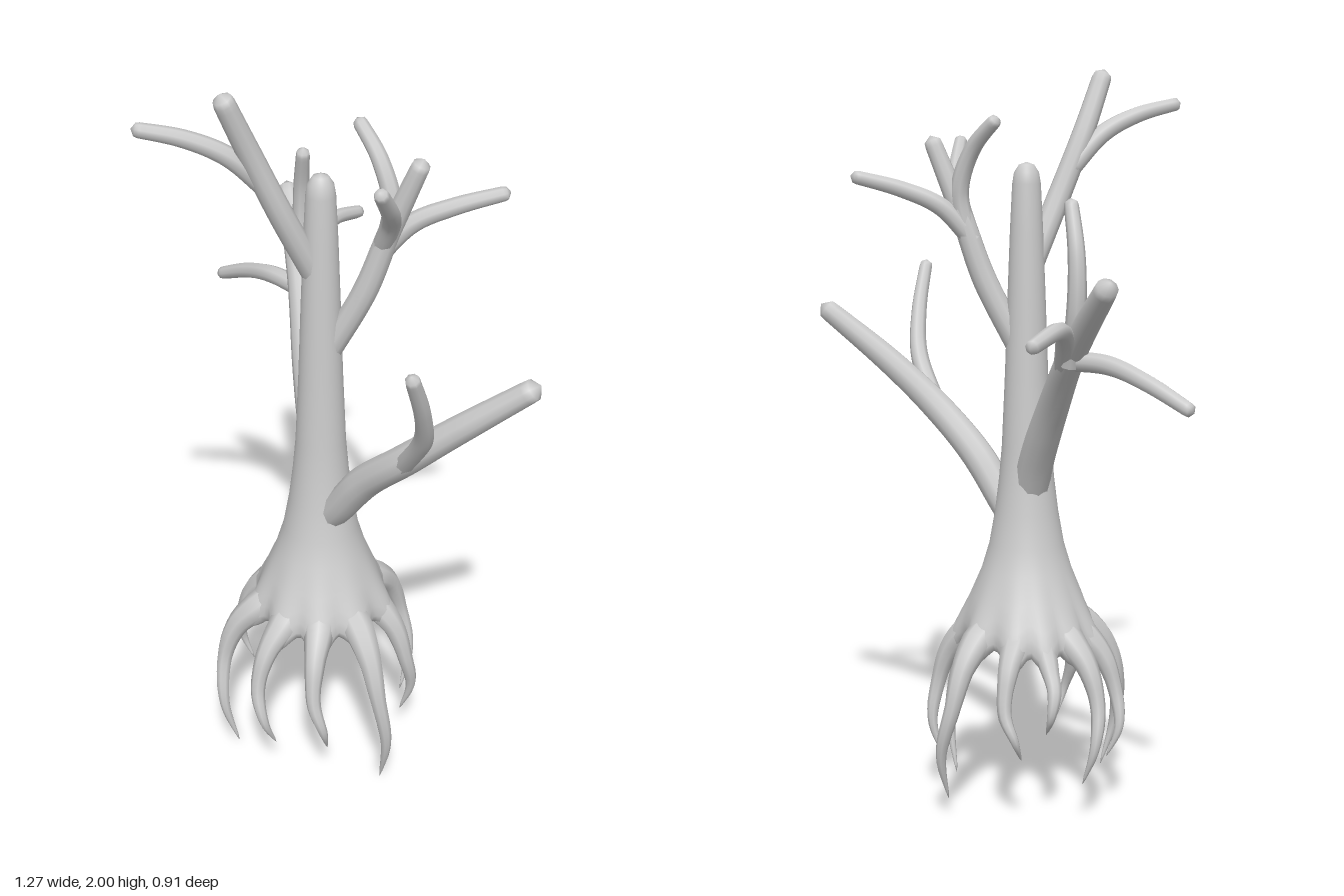
import * as THREE from 'three';
import { mergeVertices } from 'three/addons/utils/BufferGeometryUtils.js';

const material = new THREE.MeshStandardMaterial({ color: 0xcccccc, side: THREE.DoubleSide });
const CX = 0.045, CZ = 0.035; // trunk axis

function smooth(geometry) {
  geometry.deleteAttribute('uv');
  geometry.deleteAttribute('normal');
  const merged = mergeVertices(geometry, 1e-5);
  merged.computeVertexNormals();
  return merged;
}

// Tapered limb along a curve; radii are spread evenly, the far end is rounded
function limb(name, points, radii, sides = 10, segments = 40) {
  const curve = new THREE.CatmullRomCurve3(points.map(p => new THREE.Vector3(...p)));
  const geometry = new THREE.TubeGeometry(curve, segments, 1, sides);
  const pos = geometry.attributes.position;
  const length = curve.getLength(), last = radii.length - 1;
  const v = new THREE.Vector3(), c = new THREE.Vector3();
  for (let i = 0; i < pos.count; i++) {
    const u = Math.floor(i / (sides + 1)) / segments;
    const k = Math.min(Math.floor(u * last), last - 1);
    let r = THREE.MathUtils.lerp(radii[k], radii[k + 1], u * last - k);
    const toEnd = (1 - u) * length, cap = radii[last];
    if (toEnd < cap) r *= Math.sqrt(Math.max(0, 1 - (1 - toEnd / cap) ** 2));
    curve.getPointAt(u, c);
    v.fromBufferAttribute(pos, i).sub(c).multiplyScalar(r).add(c);
    pos.setXYZ(i, v.x, v.y, v.z);
  }
  const mesh = new THREE.Mesh(smooth(geometry), material);
  mesh.name = name;
  return mesh;
}

// Roots: outermost x and z, height of the tip, sideways bend of the tip
const roots = [
  [0.35, 0.04, 0.0, -0.08], [0.28, 0.21, 0.15, -0.1], [0.14, 0.31, 0.14, -0.12],
  [-0.05, 0.31, 0.04, -0.14], [-0.2, 0.15, 0.15, 0.08], [-0.24, 0.02, 0.11, 0.1],
  [-0.19, -0.1, 0.26, 0.05], [-0.11, -0.19, 0.19, -0.12], [0.06, -0.26, 0.05, 0.12],
  [0.25, -0.13, 0.11, -0.08],
].map(([x, z, tip, bend]) => ({
  angle: Math.atan2(z - CZ, x - CX), reach: Math.hypot(x - CX, z - CZ), tip, bend,
}));

// Trunk with a hollow underside, its flared foot swelling towards each root
function makeTrunk() {
  const profile = [
    [0, 0.53], [0.07, 0.51], [0.12, 0.47], [0.16, 0.435], [0.18, 0.435], [0.187, 0.455],
    [0.182, 0.49], [0.17, 0.53], [0.152, 0.585], [0.123, 0.66], [0.102, 0.73], [0.086, 0.82],
    [0.075, 0.91], [0.067, 1.0], [0.058, 1.2], [0.051, 1.4], [0.044, 1.58], [0.038, 1.7],
    [0.033, 1.73], [0.02, 1.75], [0, 1.757],
  ].map(p => new THREE.Vector2(...p));
  const geometry = new THREE.LatheGeometry(profile, 96);
  const pos = geometry.attributes.position;
  for (let i = 0; i < pos.count; i++) {
    const x = pos.getX(i), y = pos.getY(i), z = pos.getZ(i);
    const a = Math.atan2(z, x);
    let lobe = 0;
    for (const root of roots) {
      const d = Math.atan2(Math.sin(a - root.angle), Math.cos(a - root.angle));
      lobe = Math.max(lobe, Math.exp(-((d / 0.19) ** 2)));
    }
    const foot = THREE.MathUtils.smoothstep(0.64 - y, 0, 0.2);
    const rim = Math.min(1, Math.hypot(x, z) / 0.16);
    const s = 1 + foot * rim * (0.24 * lobe - 0.05);
    pos.setXYZ(i, CX + x * s, y + foot * rim * (0.035 - 0.05 * lobe), CZ + z * s);
  }
  const mesh = new THREE.Mesh(smooth(geometry), material);
  mesh.name = 'trunk';
  return mesh;
}

// Root sloping out of the foot and hanging down to a thin point
function makeRoot({ angle, reach, tip, bend }) {
  const at = (r, y, turn) => [CX + r * Math.cos(angle + turn), y, CZ + r * Math.sin(angle + turn)];
  const low = Math.max(0.32, tip + 0.12);
  return limb('root', [
    at(0.1, 0.53, 0), at(reach * 0.58, 0.49, 0), at(reach * 0.81, 0.425, -bend * 0.4),
    at(reach * 0.95, low, -bend * 0.4), at(reach, (low + tip) / 2, bend * 0.5),
    at(reach * 0.88, tip, bend),
  ], [0.045, 0.043, 0.03, 0.022, 0.018, 0.011, 0.002], 8, 24);
}

// Each bough: main limb first, then its twigs
const boughs = {
  leftBough: {
    main: [[0.07, 0.76, 0.04], [0.13, 0.83, 0.035], [0.22, 0.95, 0.02], [0.35, 1.075, -0.01], [0.47, 1.2, -0.08], [0.625, 1.36, -0.2]],
    radii: [0.042, 0.045, 0.042, 0.036, 0.028],
    twigs: [[[0.36, 1.07, 0], [0.47, 1.21, 0.03], [0.525, 1.33, 0.08], [0.565, 1.47, 0.148]]],
  },
  rightBough: {
    main: [[0.03, 0.86, 0.03], [-0.03, 0.98, 0], [-0.13, 1.13, -0.045], [-0.28, 1.3, -0.125], [-0.485, 1.485, -0.22]],
    radii: [0.05, 0.047, 0.04, 0.035, 0.028],
    twigs: [
      [[-0.27, 1.26, -0.13], [-0.31, 1.4, -0.15], [-0.31, 1.54, -0.15], [-0.27, 1.675, -0.13]],
      [[-0.24, 1.27, -0.12], [-0.38, 1.268, -0.105], [-0.5, 1.235, -0.1], [-0.635, 1.175, -0.085]],
      [[-0.23, 1.25, -0.11], [-0.31, 1.33, -0.19], [-0.4, 1.37, -0.31], [-0.45, 1.345, -0.455]],
    ],
  },
  frontBough: {
    main: [[0.04, 1.48, 0.045], [0.025, 1.66, 0.135], [0.005, 1.83, 0.21], [0, 2.0, 0.288]],
    radii: [0.033, 0.032, 0.03, 0.026],
    twigs: [[[0.01, 1.74, 0.17], [-0.025, 1.83, 0.255], [-0.07, 1.88, 0.345], [-0.128, 1.912, 0.455]]],
  },
  backBough: {
    main: [[0.06, 1.27, 0.02], [0.13, 1.45, -0.04], [0.175, 1.62, -0.08], [0.245, 1.825, -0.125]],
    radii: [0.034, 0.033, 0.029, 0.023],
    twigs: [
      [[0.15, 1.55, -0.06], [0.2, 1.64, -0.13], [0.26, 1.685, -0.21], [0.335, 1.722, -0.325]],
      [[0.16, 1.58, -0.07], [0.22, 1.67, -0.05], [0.28, 1.73, 0], [0.335, 1.82, 0.073]],
      [[0.16, 1.56, -0.07], [0.17, 1.68, -0.09], [0.125, 1.79, -0.085], [0.035, 1.872, -0.08]],
    ],
  },
};

export function createModel() {
  const tree = new THREE.Group();
  tree.name = 'tree';
  tree.add(makeTrunk());

  const rootGroup = new THREE.Group();
  rootGroup.name = 'roots';
  for (const root of roots) rootGroup.add(makeRoot(root));
  tree.add(rootGroup);

  for (const [name, { main, radii, twigs }] of Object.entries(boughs)) {
    const bough = new THREE.Group();
    bough.name = name;
    bough.add(limb('branch', main, radii));
    for (const twig of twigs) bough.add(limb('twig', twig, [0.026, 0.025, 0.022, 0.018], 8));
    tree.add(bough);
  }
  return tree;
}
